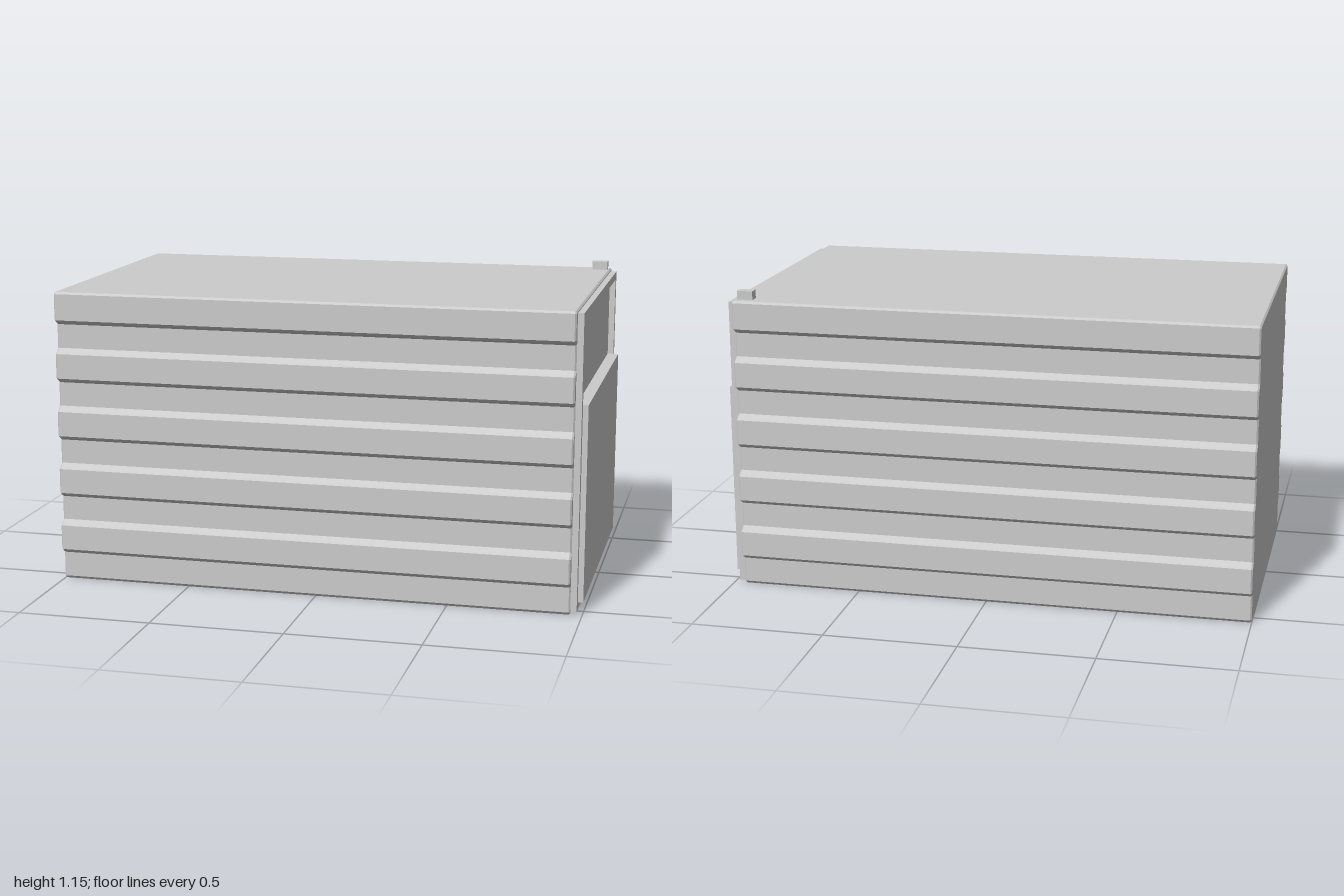
import * as THREE from 'three';

const material = new THREE.MeshStandardMaterial({ color: 0xcccccc, flatShading: true });

function addMesh(group, name, geometry, x = 0, y = 0, z = 0) {
  const mesh = new THREE.Mesh(geometry, material);
  mesh.name = name;
  mesh.position.set(x, y, z);
  group.add(mesh);
}

// Extrudes a (-z, y) outline along +x, starting at x = 0
function extrudeAlongX(shape, options) {
  return new THREE.ExtrudeGeometry(shape, options).rotateY(Math.PI / 2);
}

function rectangle(halfWidth, bottom, top) {
  return [[-halfWidth, bottom], [halfWidth, bottom], [halfWidth, top], [-halfWidth, top]]
    .map(([a, b]) => new THREE.Vector2(a, b));
}

// Outline of the ribbed container, one side listed from bottom to top
function bodyOutline() {
  const wall = 0.557, rib = 0.583, pitch = 0.2225;
  const side = [[wall - 0.008, 0], [wall, 0.01]];
  for (let i = 0; i < 5; i++) {
    const y = 0.105 + i * pitch;
    side.push([wall, y], [rib - 0.008, y + 0.01], [rib, y + 0.018]);
    if (i < 4) side.push([rib, y + 0.112], [rib - 0.006, y + 0.118], [wall, y + 0.132]);
  }
  side.push([rib, 1.112], [rib - 0.008, 1.12]);
  const mirrored = side.map(([a, b]) => [-a, b]).reverse();
  return [...side, ...mirrored].map(([a, b]) => new THREE.Vector2(a, b));
}

export function createModel() {
  const model = new THREE.Group();
  model.name = 'storageContainer';

  // Ribbed body with finely bevelled ends
  const bevel = 0.006;
  addMesh(model, 'ribbedBody', extrudeAlongX(new THREE.Shape(bodyOutline()), {
    depth: 1.957 - 2 * bevel,
    bevelEnabled: true,
    bevelThickness: bevel,
    bevelSize: bevel,
    bevelOffset: -bevel,
    bevelSegments: 1,
  }), -1 + bevel);

  // Door frame around the open end
  const frame = new THREE.Shape(rectangle(0.55, 0.01, 1.11));
  frame.holes.push(new THREE.Path(rectangle(0.52, 0.04, 1.08)));
  addMesh(model, 'doorFrame', extrudeAlongX(frame, { depth: 0.027, bevelEnabled: false }), 0.953);

  // Lower door panel, standing proud of the frame
  addMesh(model, 'doorPanel', new THREE.BoxGeometry(0.045, 0.735, 1.04), 0.9775, 0.4075, 0);

  // Small block on the back corner of the roof
  addMesh(model, 'roofBlock', new THREE.BoxGeometry(0.06, 0.035, 0.037), 0.916, 1.135, -0.53);

  return model;
}
